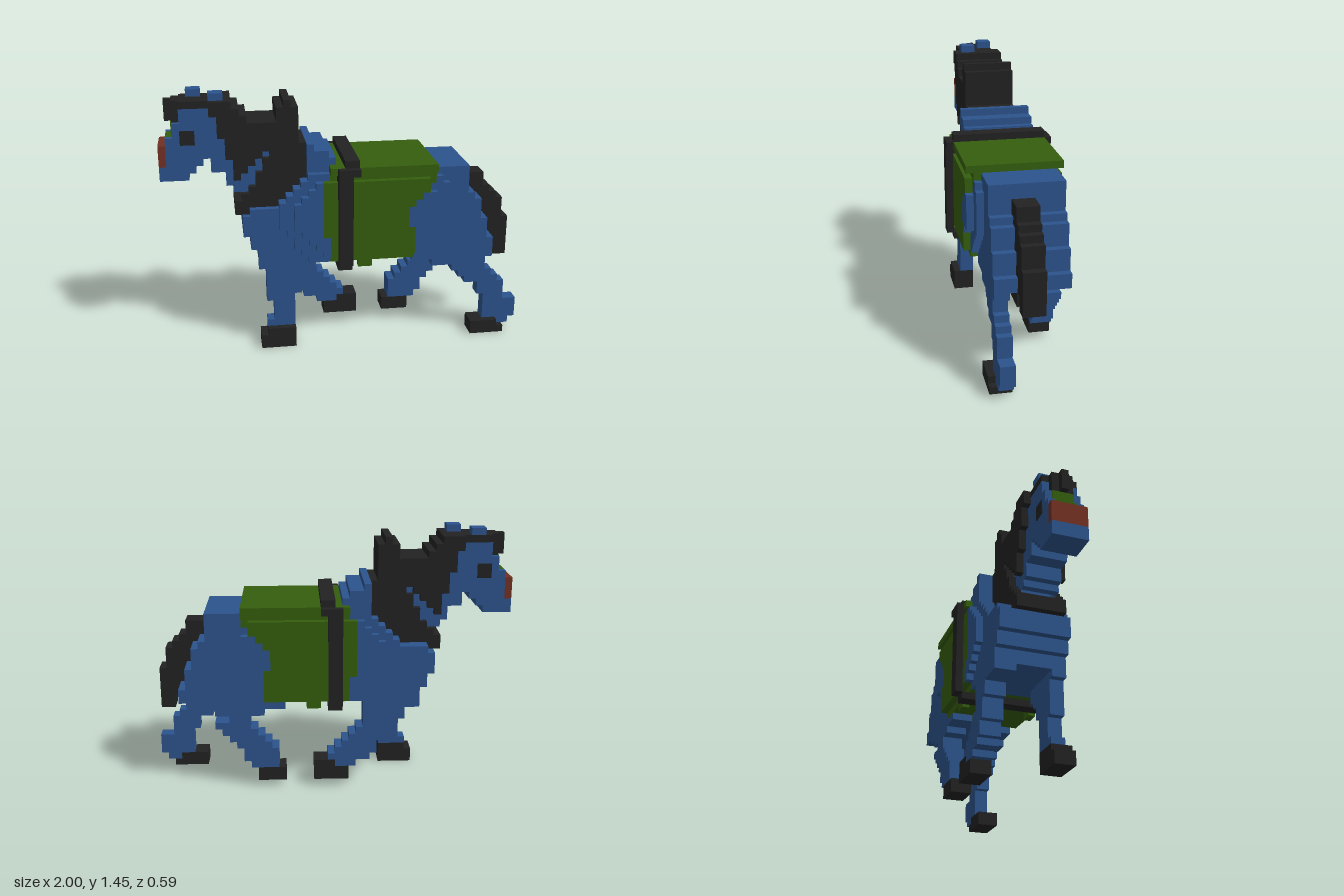
import * as THREE from 'three';
import { mergeGeometries } from 'three/addons/utils/BufferGeometryUtils.js';

const U = 2 / 51; // block size; the grid is 51 x 37 x 15 blocks

const paint = (name, color) => {
  const m = new THREE.MeshStandardMaterial({ color });
  m.name = name;
  return m;
};

export function createModel() {
  const model = new THREE.Group();
  model.name = 'horse';
  const blue = paint('blue coat', 0x2c538c);
  const black = paint('black hair and hooves', 0x222222);
  const green = paint('green blanket', 0x345e0d);
  const red = paint('red muzzle', 0x733022);

  // One box per block range, in grid units
  const box = (x0, x1, y0, y1, z0, z1) => {
    const g = new THREE.BoxGeometry((x1 - x0) * U, (y1 - y0) * U, (z1 - z0) * U);
    g.translate(((x0 + x1) / 2 - 25.5) * U, ((y0 + y1) / 2) * U, ((z0 + z1) / 2 - 7.5) * U);
    return g;
  };
  const add = (name, mat, boxes) => {
    const mesh = new THREE.Mesh(mergeGeometries(boxes), mat);
    mesh.name = name;
    model.add(mesh);
  };
  // Stack of rows [x0, x1] from the bottom up; equal neighbours become one box
  const stack = (name, mat, y, z0, z1, rows) => {
    const boxes = [];
    for (let i = 0; i < rows.length;) {
      let j = i + 1;
      const [a, b] = rows[i];
      while (j < rows.length && rows[j][0] === a && rows[j][1] === b) j++;
      if (b > a) boxes.push(box(a, b, y + i, y + j, z0, z1));
      i = j;
    }
    if (boxes.length) add(name, mat, boxes);
  };

  // Blanket limits for rows 13 to 25
  const cloth = [[23, 35], [23, 35], [23, 35], [23, 35], [22, 35], [22, 34], [22, 34],
    [22, 34], [22, 35], [22, 36], [22, 37], [22, 38], [23, 38]];
  // Body slice cut into shoulder, blanket and rump
  const slice = (name, y, z0, z1, rows) => {
    const lim = i => cloth[y + i - 13];
    stack(name + 'Shoulder', blue, y, z0, z1, rows.map(([a, b], i) => [a, Math.min(b, lim(i)[0])]));
    stack(name + 'Blanket', green, y, z0, z1,
      rows.map(([a, b], i) => [Math.max(a, lim(i)[0]), Math.min(b, lim(i)[1])]));
    stack(name + 'Rump', blue, y, z0, z1, rows.map(([a, b], i) => [Math.max(a, lim(i)[1]), b]));
  };

  // Trunk and its bulging flanks
  slice('trunk', 13, 2, 12, [[13, 47], [13, 47], [12, 46], [12, 46], [11, 46], [11, 45], [11, 45],
    [12, 45], [16, 44], [17, 43], [18, 43], [19, 43], [20, 43]]);
  slice('leftFlank', 13, 12, 13, [[20, 35], [19, 36], [18, 37], [18, 38], [17, 39], [16, 40], [16, 40],
    [16, 40], [16, 40], [17, 40], [18, 40], [19, 39], [20, 38]]);
  const outer = [[22, 35], [21, 35], [20, 35], [19, 36], [18, 38], [18, 38], [18, 38],
    [18, 38], [19, 38], [20, 37], [21, 37]];
  slice('leftOuterFlank', 14, 13, 14, outer);
  slice('rightOuterFlank', 14, 1, 2, outer);
  stack('withers', blue, 26, 2, 12, [[20, 24], [20, 24], [20, 23], [20, 21]]);
  add('rumpTop', blue, [box(38, 43, 25, 26, 2, 12)]);
  add('blanketTop', green, [box(23, 38, 26, 27, 1, 14)]);
  add('blanketHem', green, [box(27, 29, 12, 13, 12, 13), box(27, 29, 12, 13, 2, 3)]);

  // Girth strap
  add('girthStrap', black, [
    box(24, 26, 13, 26, 0, 1), box(24, 26, 13, 26, 14, 15),
    box(24, 26, 12, 13, 1, 14), box(25, 27, 27, 28, 1, 14),
    box(24, 27, 26, 27, 0, 1), box(24, 27, 26, 27, 14, 15),
    box(24, 26, 25, 26, 1, 2), box(24, 26, 25, 26, 13, 14),
  ]);

  // Legs
  stack('leftFrontLeg', blue, 3, 10, 12, [[14, 18], [15, 18], [15, 18], [15, 18], [14, 18],
    [14, 19], [14, 19], [14, 20], [14, 21], [13, 21]]);
  stack('rightFrontLeg', blue, 3, 2, 5, [[22, 25], [20, 26], [19, 25], [19, 24], [18, 23],
    [18, 22], [18, 21], [17, 21], [17, 21], [13, 21]]);
  stack('leftHindLeg', blue, 1, 10, 12, [[48, 50], [46, 51], [46, 51], [46, 51], [46, 49], [45, 49],
    [45, 49], [43, 48], [42, 47], [41, 46], [38, 46], [35, 47]]);
  stack('rightHindLeg', blue, 3, 2, 5, [[33, 37], [33, 38], [33, 38], [34, 39], [35, 40],
    [36, 41], [37, 42], [37, 40], [35, 42], [32, 44]]);

  // Hooves
  add('leftFrontHoof', black, [box(13, 18, 0, 2, 10, 13), box(14, 18, 2, 3, 10, 13)]);
  add('rightFrontHoof', black, [box(23, 28, 1, 3, 2, 5), box(25, 28, 3, 4, 2, 5)]);
  add('leftHindHoof', black, [box(44, 49, 0, 1, 10, 13), box(44, 48, 1, 2, 10, 13)]);
  add('rightHindHoof', black, [box(32, 36, 1, 3, 2, 5)]);

  // Tail
  stack('tail', black, 11, 6, 9, [[48, 50], [48, 50], [47, 50], [47, 50], [46, 50], [46, 50],
    [46, 49], [45, 49], [45, 49], [45, 48], [44, 47], [43, 46], [43, 46]].map(
    ([a, b], i) => (i === 5 ? [a, 50] : [a, b])));

  // Neck and head
  stack('neck', blue, 19, 5, 10, [[12, 18], [11, 18], [11, 18], [11, 18], [10, 18], [9, 18],
    [9, 18], [7, 18], [7, 19], [6, 19]]);
  stack('head', blue, 25, 5, 10, [[0, 4], [0, 5], [1, 6], [1, 9], [1, 12], [2, 12],
    [2, 12], [2, 11], [3, 10], [3, 9]]);
  add('noseSides', blue, [box(1, 2, 30, 31, 5, 6), box(1, 2, 30, 31, 9, 10)]);
  add('noseBand', green, [box(1, 2, 30, 31, 6, 9), box(1.85, 2, 31, 33, 6, 9)]);
  add('muzzle', red, [box(0, 1, 27, 30, 5, 10)]);
  add('eyes', black, [box(3, 5, 30, 32, 10, 10.1), box(3, 5, 30, 32, 4.9, 5)]);
  add('rightEar', blue, [box(4, 6, 36, 37, 5, 7)]);
  add('leftEar', blue, [box(7, 9, 36, 37, 8, 10)]);

  // Forelock, mane and collar
  add('forelock', black, [box(3, 7, 35, 36, 5, 10), box(2, 3, 33, 36, 6, 9), box(1, 2, 33, 36, 7, 8)]);
  stack('mane', black, 25, 4, 11, [[10, 11], [10, 12], [10, 13], [9, 14], [9, 15], [9, 19],
    [8, 19], [8, 19], [8, 12], [7, 11], [7, 10]]);
  stack('maneCrest', black, 33, 4, 11, [[16, 19], [16, 19], [17, 18]]);
  stack('collar', black, 20, 4, 11, [[10, 12], [10, 16], [11, 17], [12, 18], [13, 19], [13, 20],
    [14, 20], [14, 20], [15, 20], [15, 20]]);
  return model;
}
